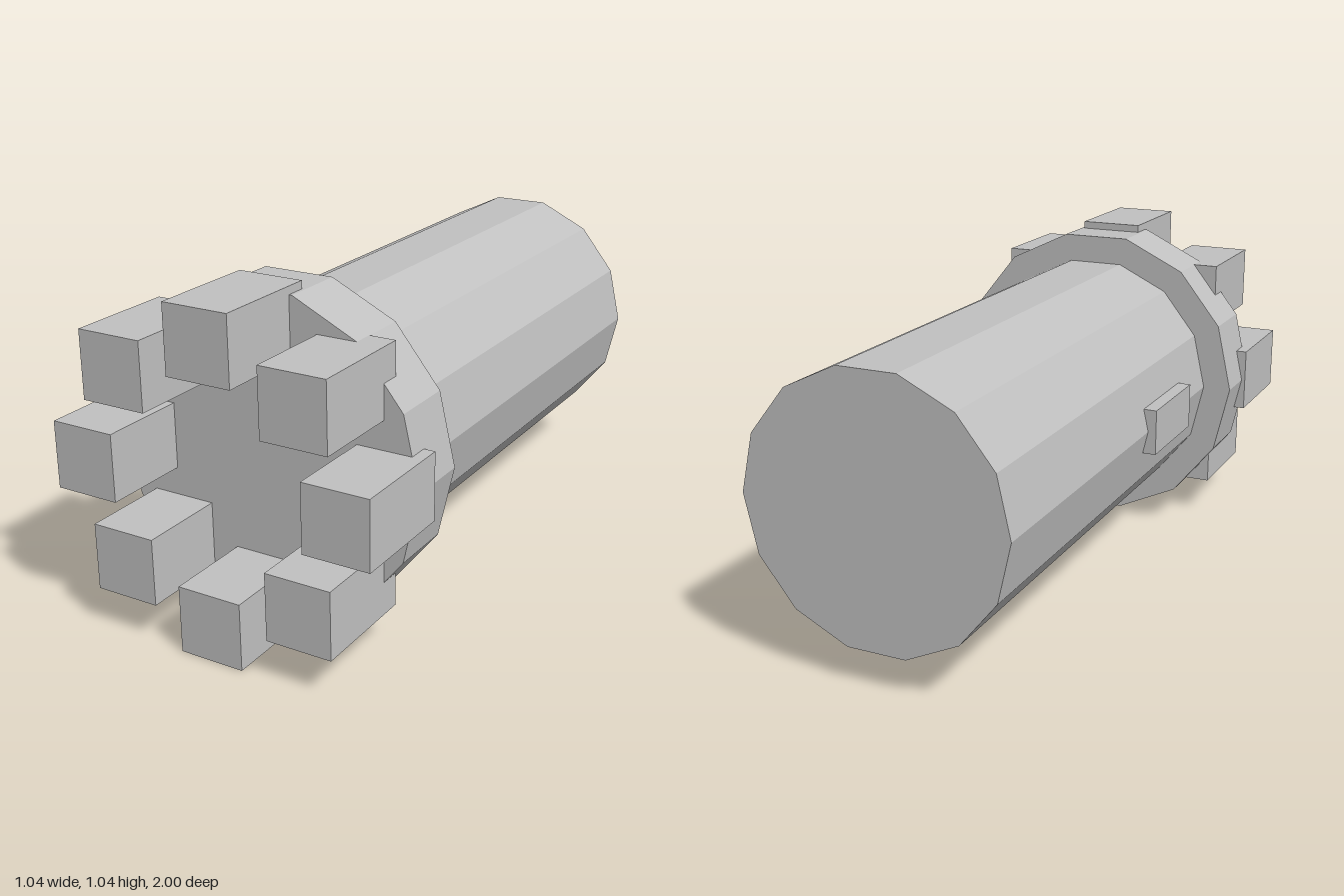
import * as THREE from 'three';

const AXIS_Y = 0.52; // height of the long axis
const SIDES = 14;

export function createModel() {
  const group = new THREE.Group();
  const grey = new THREE.MeshStandardMaterial({ color: 0xc0c0c0 });
  grey.name = 'grey';
  grey.flatShading = true;

  function add(name, geometry, x, y, z) {
    const mesh = new THREE.Mesh(geometry, grey);
    mesh.name = name;
    mesh.position.set(x, y, z);
    group.add(mesh);
  }

  // Fourteen-sided prism along z, with corners on the left and right
  function prism(name, radius, zBack, zFront) {
    const geometry = new THREE.CylinderGeometry(
      radius, radius, zFront - zBack, SIDES, 1, false, Math.PI / 2);
    geometry.rotateX(Math.PI / 2);
    add(name, geometry, 0, AXIS_Y, (zBack + zFront) / 2);
  }

  prism('barrel', 0.414, -1, 0.515);
  prism('collar', 0.508, 0.515, 0.72);

  // Ring of upright square teeth, sunk into the collar
  for (let i = 0; i < 8; i++) {
    const a = (i * Math.PI) / 4;
    add('tooth', new THREE.BoxGeometry(0.207, 0.207, 0.345),
      0.416 * Math.cos(a), AXIS_Y + 0.416 * Math.sin(a), 0.8275);
  }

  // Small raised key on one side of the barrel
  add('sideKey', new THREE.BoxGeometry(0.05, 0.145, 0.32), -0.415, AXIS_Y, 0.13);

  return group;
}
